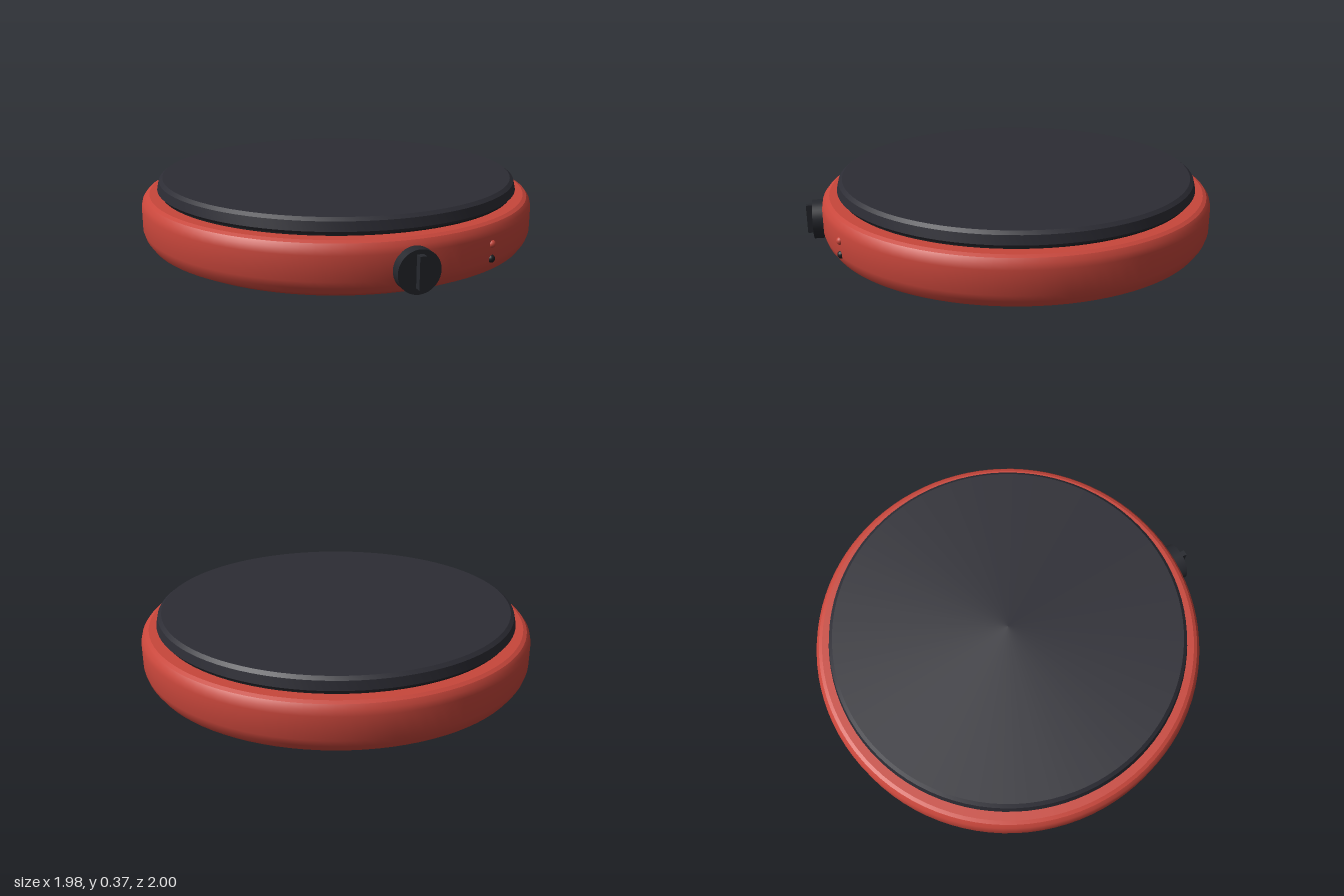
import * as THREE from 'three';
import { toCreasedNormals } from 'three/addons/utils/BufferGeometryUtils.js';

export function createModel() {
  const model = new THREE.Group();
  const mat = (name, color) => {
    const m = new THREE.MeshStandardMaterial({ color });
    m.name = name;
    return m;
  };
  const red = mat('red enamel', 0xc8463b);
  const charcoal = mat('charcoal plate', 0x2c2c34);
  const black = mat('black rubber', 0x1b1c1f);
  const knobGrey = mat('knob grey', 0x26282e);

  const base = new THREE.Group();
  base.name = 'hotPlate';
  base.position.z = -0.006;
  model.add(base);

  const add = (name, geometry, material, x = 0, y = 0, z = 0, parent = base) => {
    const mesh = new THREE.Mesh(geometry, material);
    mesh.name = name;
    mesh.position.set(x, y, z);
    parent.add(mesh);
    return mesh;
  };
  // Solid of revolution from [radius, height] pairs, bottom to top
  const lathe = (points, crease) => toCreasedNormals(
    new THREE.LatheGeometry(points.map(([r, y]) => new THREE.Vector2(r, y)), 96), crease);

  // Rounded housing
  add('housing', lathe([
    [0, 0.028], [0.9, 0.028], [0.96, 0.058], [0.982, 0.09], [0.992, 0.122],
    [0.992, 0.235], [0.985, 0.262], [0.97, 0.281], [0.952, 0.29], [0, 0.29],
  ], 0.42), red);

  // Dark neck between the housing and the heating plate
  add('plateSeal', new THREE.CylinderGeometry(0.895, 0.895, 0.03, 96), black, 0, 0.295, 0);

  // Heating plate with a bevelled rim
  add('heatingPlate', lathe([
    [0, 0.298], [0.9, 0.298], [0.913, 0.312], [0.903, 0.354], [0.885, 0.368], [0, 0.368],
  ], 0.5), charcoal);

  // Four rubber feet
  for (const x of [-0.52, 0.52]) {
    for (const z of [-0.52, 0.52]) {
      add('foot', new THREE.CylinderGeometry(0.072, 0.072, 0.04, 32), black, x, 0.02, z);
    }
  }

  // Control knob, turned to face outward from the rim
  const knob = new THREE.Group();
  knob.name = 'controlKnob';
  knob.rotation.y = -THREE.MathUtils.degToRad(24.5);
  knob.position.y = 0.162;
  base.add(knob);
  add('knobDial', new THREE.CylinderGeometry(0.098, 0.098, 0.08, 40).rotateX(Math.PI / 2),
    knobGrey, 0, 0, 0.998, knob);
  add('knobGrip', new THREE.BoxGeometry(0.03, 0.145, 0.035), knobGrey, 0, 0.005, 1.052, knob);

  // Indicator lights on the front
  const light = new THREE.SphereGeometry(0.019, 20, 14);
  add('heatLight', light, red, 0, 0.196, 0.987);
  add('powerLight', light, black, 0, 0.128, 0.987);

  return model;
}
